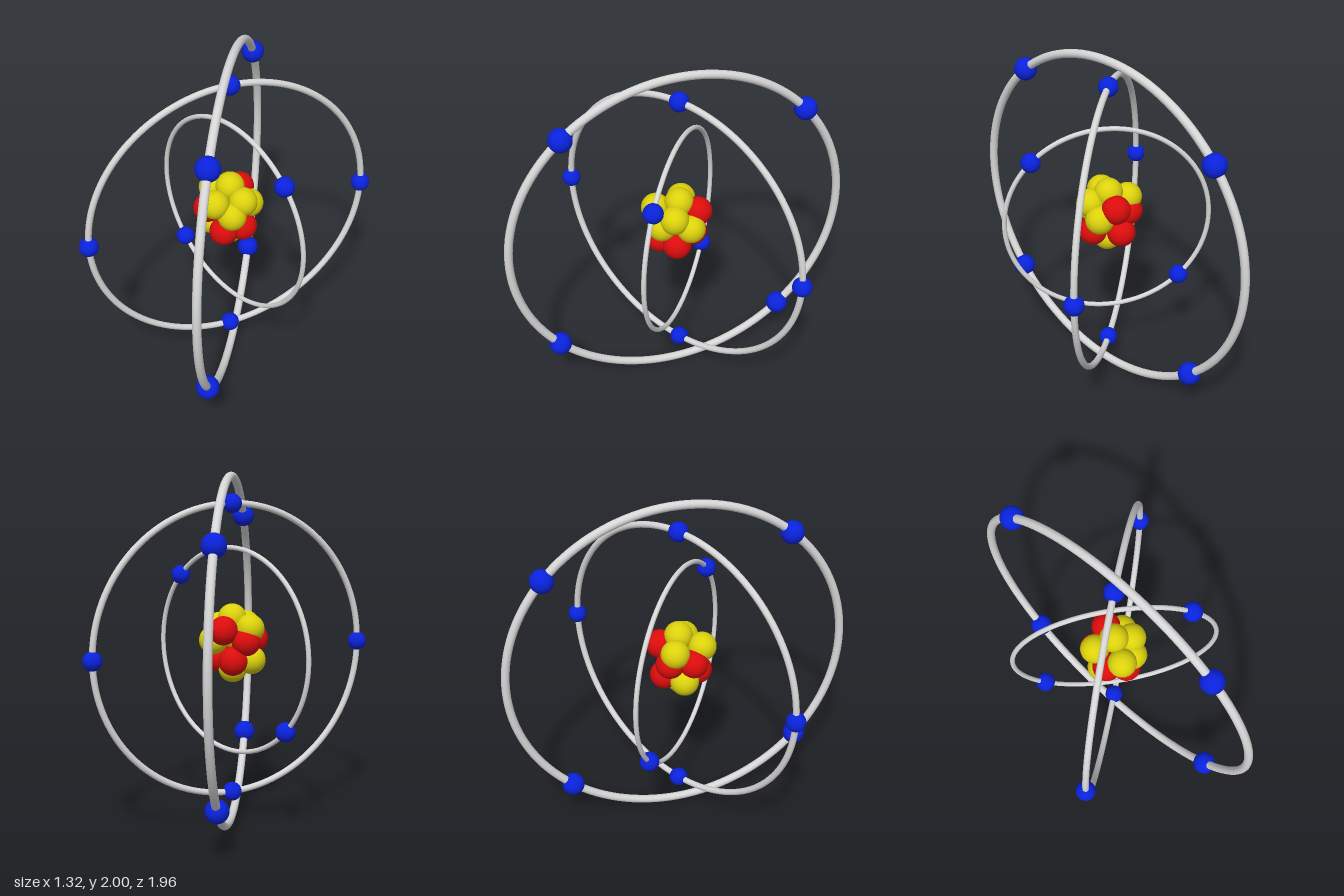
import * as THREE from 'three';

const mat = (name, color) => {
  const m = new THREE.MeshStandardMaterial({ color });
  m.name = name;
  return m;
};
const rad = THREE.MathUtils.degToRad;

export function createModel() {
  const model = new THREE.Group();
  model.name = 'atom';
  const silver = mat('silver', 0xd6d6d6);
  const blue = mat('blue', 0x0a22dc);
  const red = mat('red', 0xdc0c0c);
  const yellow = mat('yellow', 0xdcd20c);

  // Upright orbits: ring radius, tube radius, turn about y, electron radius, electron angles
  const orbits = [
    ['innerOrbit', 0.58, 0.0135, -28, 0.055, [43.8, 223.8]],
    ['middleOrbit', 0.824, 0.018, 42.6, 0.054, [0, 90, 180, 270]],
    ['outerOrbit', 0.976, 0.0235, -79.4, 0.065, [48.8, 138.8, 228.8, 318.8]],
  ];
  for (const [name, radius, tube, turn, size, angles] of orbits) {
    const orbit = new THREE.Group();
    orbit.name = name;
    orbit.position.set(name === 'middleOrbit' ? 0 : 0.006, name === 'outerOrbit' ? 1 : 1.004, 0);
    orbit.rotation.y = rad(turn);
    const ring = new THREE.Mesh(new THREE.TorusGeometry(radius, tube, 16, 128), silver);
    ring.name = 'orbitRing';
    orbit.add(ring);
    const ball = new THREE.SphereGeometry(size, 32, 20);
    for (const a of angles) {
      const electron = new THREE.Mesh(ball, blue);
      electron.name = 'electron';
      electron.position.set(radius * Math.cos(rad(a)), radius * Math.sin(rad(a)), 0);
      orbit.add(electron);
    }
    model.add(orbit);
  }

  // Nucleus: one ball at each pole and three staggered layers of four
  const nucleus = new THREE.Group();
  nucleus.name = 'nucleus';
  const ball = new THREE.SphereGeometry(0.081, 32, 20);
  const addBalls = (name, material, centres) => {
    for (const c of centres) {
      const mesh = new THREE.Mesh(ball, material);
      mesh.name = name;
      mesh.position.set(...c);
      nucleus.add(mesh);
    }
  };
  addBalls('neutron', yellow, [
    [0, 1.19, 0], [0, 0.902, 0.01],
    [-0.04, 1.138, 0.128], [0.092, 1.133, 0.04], [-0.112, 1.138, -0.028],
    [0.052, 1.067, 0.105], [0.095, 1.067, -0.052],
    [-0.105, 0.952, 0.025],
  ]);
  addBalls('proton', red, [
    [0.02, 1.13, -0.102],
    [-0.105, 1.067, 0.075], [-0.098, 1.067, -0.055],
    [0.005, 0.957, 0.11], [0.086, 0.957, 0.026], [-0.03, 0.957, -0.083],
  ]);
  model.add(nucleus);
  return model;
}
